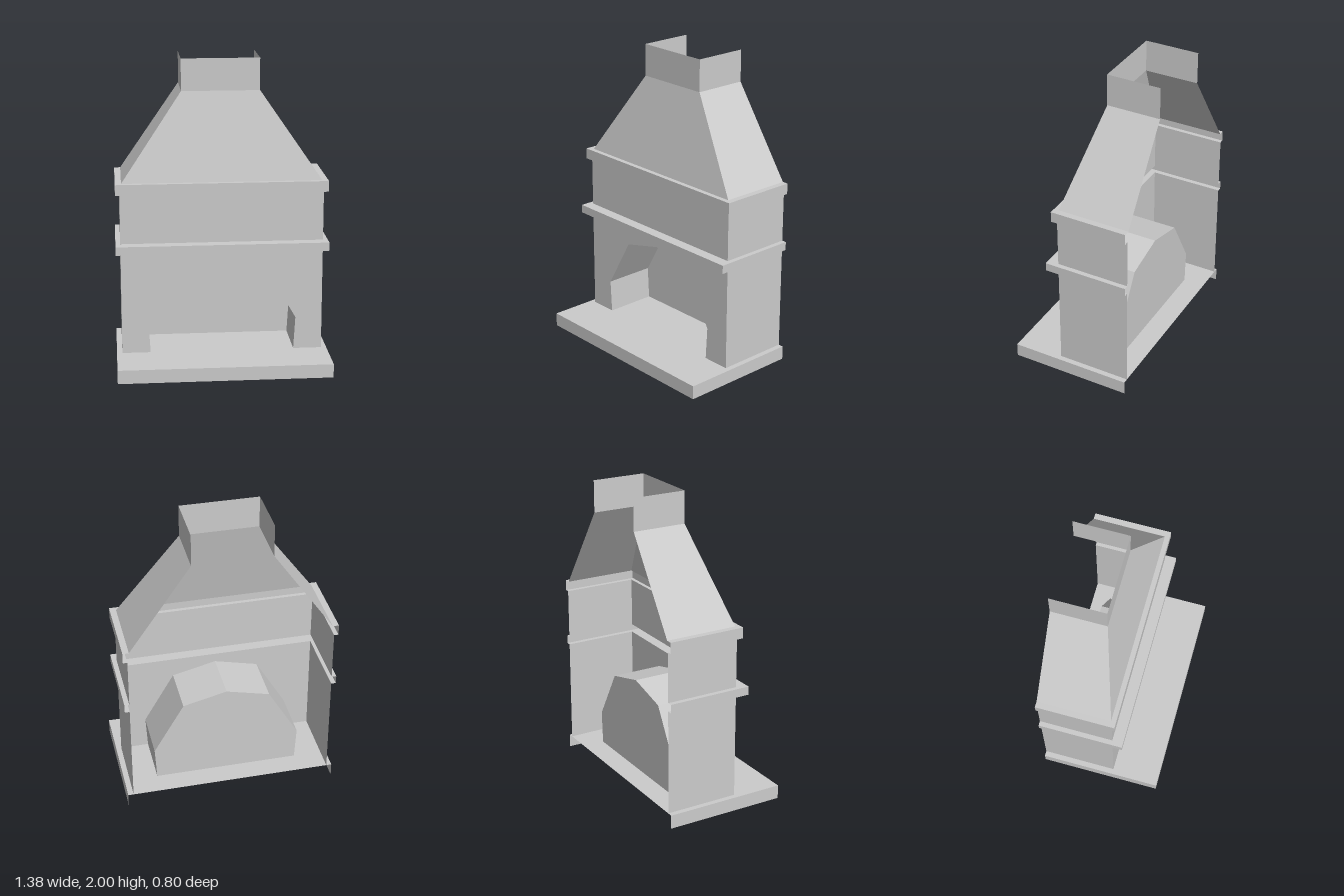
import * as THREE from 'three';

const BACK = -0.4;
const material = new THREE.MeshStandardMaterial({ color: 0xcccccc, flatShading: true, side: THREE.DoubleSide });

function addMesh(group, name, geometry) {
  const mesh = new THREE.Mesh(geometry, material);
  mesh.name = name;
  group.add(mesh);
  return mesh;
}

// Joins open loops of equal length with quads
function loft(loops) {
  const positions = [];
  for (let i = 0; i < loops.length - 1; i++) {
    for (let j = 0; j < loops[i].length - 1; j++) {
      const a = loops[i][j], b = loops[i][j + 1], c = loops[i + 1][j + 1], d = loops[i + 1][j];
      positions.push(...a, ...b, ...c, ...a, ...c, ...d);
    }
  }
  const geometry = new THREE.BufferGeometry();
  geometry.setAttribute('position', new THREE.Float32BufferAttribute(positions, 3));
  geometry.computeVertexNormals();
  return geometry;
}

// U-shaped section, open at the back: half width, front depth, height
const section = ([x, z, y]) => [[-x, y, BACK], [-x, y, z], [x, y, z], [x, y, BACK]];
const shell = (...profile) => loft(profile.map(section));

export function createModel() {
  const group = new THREE.Group();
  const wx = 0.655, wz = 0.085; // wall half width and front

  // Hearth slab: skirt and full top plate, open below and behind
  addMesh(group, 'hearthSkirt', shell([0.69, 0.4, 0], [0.69, 0.4, 0.09]));
  const plate = new THREE.PlaneGeometry(1.38, 0.8).rotateX(-Math.PI / 2);
  addMesh(group, 'hearthTop', plate).position.y = 0.09;

  // Arched opening outline, from lower right over the top to lower left
  const half = [[0.47, 0.09], [0.482, 0.305], [0.285, 0.645]];
  const arch = [...half, [0, 0.715], ...half.map(([x, y]) => [-x, y]).reverse()];

  // Lower front wall with the opening cut from its bottom edge
  const wall = new THREE.Shape([[-wx, 0.09], [-wx, 0.775], [wx, 0.775], [wx, 0.09], ...arch]
    .map(([x, y]) => new THREE.Vector2(x, y)));
  addMesh(group, 'lowerFrontWall', new THREE.ShapeGeometry(wall)).position.z = wz;

  // Lower side walls
  for (const [side, name] of [[1, 'leftWall'], [-1, 'rightWall']]) {
    const x = side * wx;
    const edge = (y) => [[x, y, wz], [x, y, BACK]];
    const loops = [edge(0.09), edge(0.775)];
    addMesh(group, name, loft(side > 0 ? loops : loops.reverse()));
  }

  // Firebox lining and its back panel
  const ring = (z) => arch.map(([x, y]) => [x, y, z]);
  addMesh(group, 'fireboxLining', loft([ring(wz), ring(-0.255)]));
  const panel = new THREE.Shape(arch.map(([x, y]) => new THREE.Vector2(x, y)));
  addMesh(group, 'fireboxBack', new THREE.ShapeGeometry(panel)).position.z = -0.255;

  // Hollow mantel shelf, upper wall and cornice
  addMesh(group, 'mantelShelf', shell([wx, wz, 0.775], [0.686, 0.157, 0.775], [0.686, 0.157, 0.83], [wx, wz, 0.83]));
  addMesh(group, 'upperWall', shell([wx, wz, 0.83], [wx, wz, 1.155]));
  addMesh(group, 'cornice', shell([wx, wz, 1.155], [0.683, 0.11, 1.155], [0.683, 0.11, 1.225], [0.643, 0.078, 1.225]));

  // Tapered hood and chimney, open at the top
  addMesh(group, 'hood', shell([0.643, 0.078, 1.225], [0.252, -0.045, 1.792]));
  addMesh(group, 'chimney', shell([0.252, -0.045, 1.792], [0.252, -0.045, 2]));
  return group;
}
